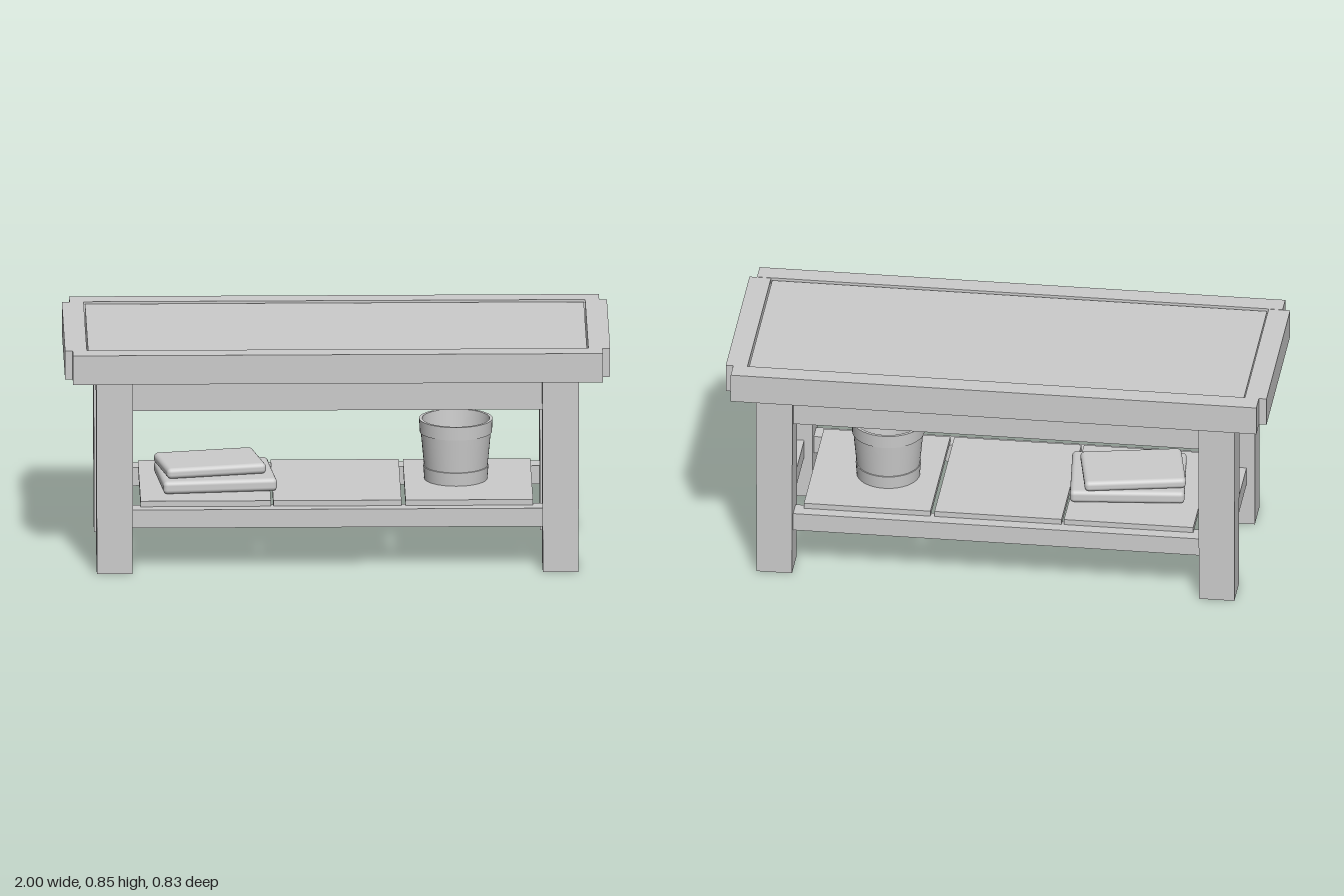
import * as THREE from 'three';
import { RoundedBoxGeometry } from 'three/addons/geometries/RoundedBoxGeometry.js';

export function createModel() {
  const model = new THREE.Group();
  model.name = 'coffeeTable';
  const grey = new THREE.MeshStandardMaterial({ color: 0xcccccc });
  grey.name = 'plain grey';
  const openGrey = new THREE.MeshStandardMaterial({ color: 0xcccccc, side: THREE.DoubleSide });
  openGrey.name = 'plain grey open';

  function add(name, geometry, material = grey) {
    const mesh = new THREE.Mesh(geometry, material);
    mesh.name = name;
    model.add(mesh);
    return mesh;
  }
  // Box from its minimum and maximum corners
  function box(name, [x0, y0, z0], [x1, y1, z1]) {
    const mesh = add(name, new THREE.BoxGeometry(x1 - x0, y1 - y0, z1 - z0));
    mesh.position.set((x0 + x1) / 2, (y0 + y1) / 2, (z0 + z1) / 2);
    return mesh;
  }

  // Tabletop: inset panel inside a frame with protruding end rails
  box('topPanel', [-0.915, 0.755, -0.332], [0.915, 0.838, 0.332]);
  for (const s of [-1, 1]) {
    const longRail = box('topLongRail', [-0.972, 0.735, -0.0375], [0.972, 0.845, 0.0375]);
    longRail.position.z = s * 0.376;
    const endRail = box('topEndRail', [-0.04, 0.736, -0.339], [0.04, 0.844, 0.339]);
    endRail.position.x = s * 0.96;
  }

  // Legs, slightly narrower at the foot
  for (const sx of [-1, 1]) for (const sz of [-1, 1]) {
    const g = new THREE.BoxGeometry(0.135, 0.727, 0.14);
    const p = g.attributes.position;
    for (let i = 0; i < p.count; i++) {
      if (p.getY(i) < 0) p.setXYZ(i, p.getX(i) * 0.97, p.getY(i), p.getZ(i) * 0.92);
    }
    g.computeVertexNormals();
    add('leg', g).position.set(sx * 0.818, 0.3635, sz * 0.293);
  }

  // Aprons under the top and stretchers near the floor
  for (const [name, y0, y1] of [['apron', 0.611, 0.727], ['stretcher', 0.166, 0.235]]) {
    for (const s of [-1, 1]) {
      box(name + 'Long', [-0.76, y0, -0.035], [0.76, y1, 0.035]).position.z = s * 0.295;
      box(name + 'End', [-0.035, y0, -0.235], [0.035, y1, 0.235]).position.x = s * 0.818;
    }
  }

  // Lower shelf of three boards
  for (const [x0, x1] of [[-0.722, -0.244], [-0.235, 0.235], [0.25, 0.718]]) {
    box('shelfBoard', [x0, 0.234, -0.285], [x1, 0.256, 0.285]);
  }

  // Two stacked books, turned a little
  const books = [
    ['lowerBook', 0.42, 0.048, 0.32, -0.4425, 0.28, 0.02, 0.1],
    ['upperBook', 0.372, 0.04, 0.25, -0.4625, 0.323, 0.002, 0.2],
  ];
  for (const [name, w, h, d, x, y, z, turn] of books) {
    const book = add(name, new RoundedBoxGeometry(w, h, d, 4, 0.016));
    book.position.set(x, y, z);
    book.rotation.y = turn;
  }

  // Hollow bucket: wall and rim bands as separate sharp-edged turned strips
  const bucket = new THREE.Group();
  bucket.name = 'bucket';
  bucket.position.set(0.44, 0.256, -0.019);
  model.add(bucket);
  const strips = [
    ['bucketBase', [[0, 0.001], [0.116, 0.001]]],
    ['bucketLowerBand', [[0.116, 0], [0.12, 0.05]]],
    ['bucketLedge', [[0.12, 0.05], [0.117, 0.051]]],
    ['bucketWall', [[0.117, 0.051], [0.129, 0.178]]],
    ['bucketRimLedge', [[0.129, 0.178], [0.133, 0.178]]],
    ['bucketRim', [[0.133, 0.178], [0.135, 0.228]]],
    ['bucketLip', [[0.135, 0.228], [0.124, 0.228]]],
    ['bucketInside', [[0.124, 0.228], [0.108, 0.015]]],
    ['bucketFloor', [[0.108, 0.015], [0, 0.015]]],
  ];
  for (const [name, points] of strips) {
    const profile = points.map(([r, y]) => new THREE.Vector2(r, y));
    const strip = new THREE.Mesh(new THREE.LatheGeometry(profile, 40), openGrey);
    strip.name = name;
    bucket.add(strip);
  }
  return model;
}
